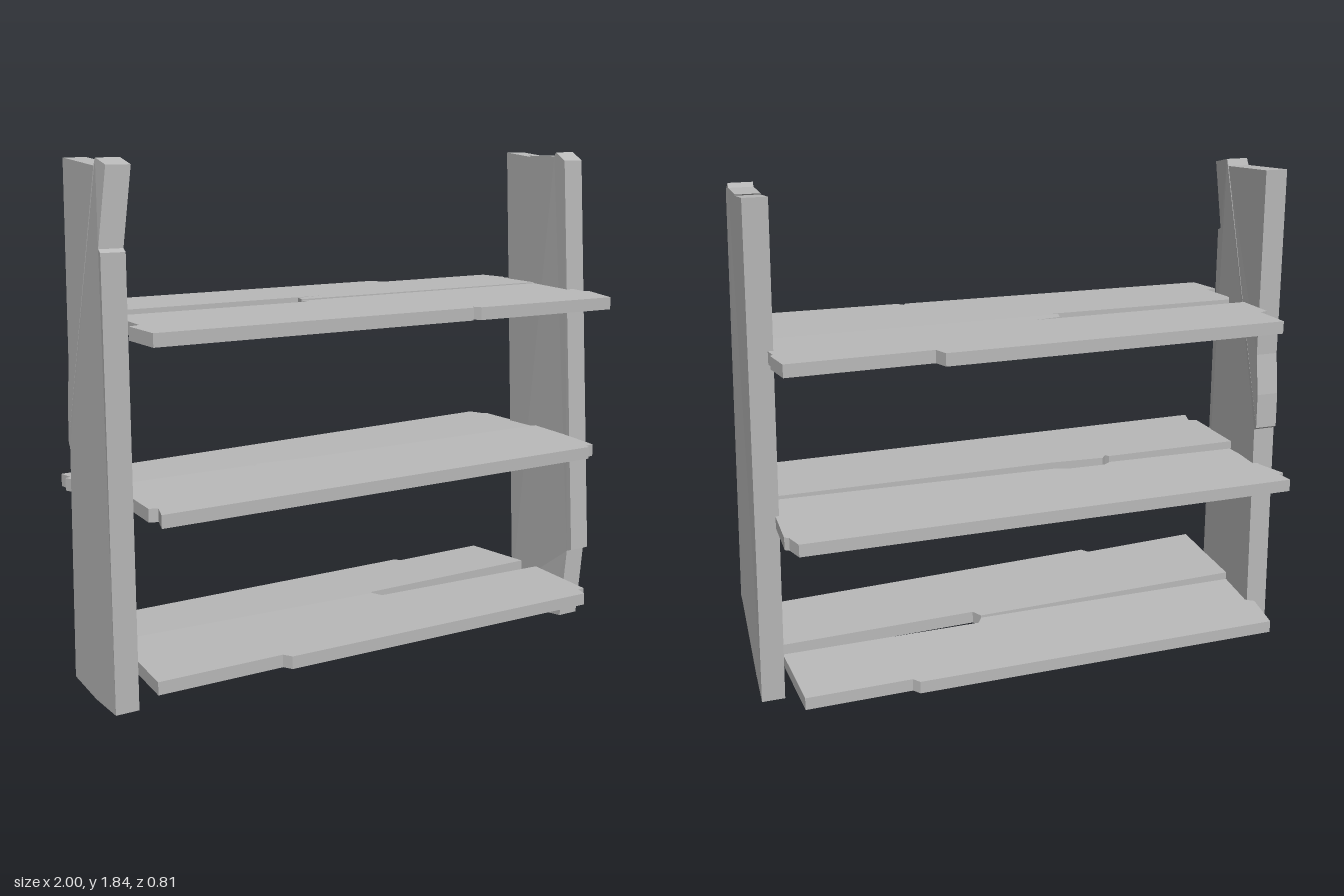
import * as THREE from 'three';

const wood = new THREE.MeshStandardMaterial({ color: 0xb8b8b8 });
wood.name = 'grey wood';

// Extrudes an outline, stands it in place and bends its vertices by a rule
function board(name, outline, thickness, place, bend) {
  const shape = new THREE.Shape(outline.map(([a, b]) => new THREE.Vector2(a, b)));
  const geo = new THREE.ExtrudeGeometry(shape, { depth: thickness, bevelEnabled: false });
  place(geo);
  const p = geo.attributes.position;
  const v = new THREE.Vector3();
  for (let i = 0; i < p.count; i++) {
    v.fromBufferAttribute(p, i);
    bend(v);
    p.setXYZ(i, v.x, v.y, v.z);
  }
  geo.computeVertexNormals();
  const mesh = new THREE.Mesh(geo, wood);
  mesh.name = name;
  return mesh;
}

// Upright: outline in (z, y), outer face at x = outer
function upright(name, outline, outer, shift) {
  return board(name, outline, 0.083,
    g => g.rotateY(-Math.PI / 2).translate(outer, 0, 0),
    v => { v.x += shift(v.y, (v.z + 0.2) / 0.4); });
}

// Shelf plank: outline in (x, z), top surface height given by a plane
function plank(name, outline, y, slopeX = 0, slopeZ = 0) {
  return board(name, outline, 0.045,
    g => g.rotateX(Math.PI / 2),
    v => { v.y += y + slopeX * v.x + slopeZ * v.z; });
}

export function createModel() {
  const group = new THREE.Group();
  group.name = 'brokenShelf';

  // Uprights, leaning inwards with chipped ends and edges
  group.add(
    upright('rightUpright', [
      [0.2, 0.03], [0.215, 1.55], [0.19, 1.56], [0.19, 1.815], [0.1, 1.835], [0.09, 1.81],
      [-0.19, 1.83], [-0.175, 1.15], [-0.195, 1.0], [-0.195, 0.87], [-0.18, 0.86],
      [-0.18, 0.03], [0.02, 0.02],
    ], -0.912, (y, f) => f * 0.037 * Math.max(0, (y - 1.55) / 0.28) + (1 - f) * 0.035 * y / 1.83),
    upright('leftUpright', [
      [0.2, 0.015], [0.115, 0.0], [0.1, 0.03], [0.09, 0.02], [-0.135, 0.035],
      [-0.2, 1.83], [-0.05, 1.815], [-0.06, 1.82], [0.09, 1.82], [0.1, 1.835], [0.15, 1.805],
      [0.225, 0.29], [0.2, 0.28],
    ], 1.0, (y, f) => (y > 0.285 ? -0.037 * (y - 0.285) / 1.55 : -0.028 * f * (0.285 - y) / 0.28)),
  );

  // Top shelf
  group.add(
    plank('topShelfFront', [
      [-0.89, 0.355], [0.3, 0.38], [0.31, 0.36], [0.33, 0.385], [0.91, 0.4], [0.945, 0.24],
      [0.925, 0.23], [0.92, -0.02], [-0.04, -0.02], [-0.16, -0.015], [-0.15, 0.008],
      [-0.86, 0.0], [-0.88, 0.04], [-0.87, 0.2], [-0.91, 0.21],
    ], 1.325, 0.001, -0.03),
    plank('topShelfBack', [
      [-0.87, -0.385], [0.37, -0.395], [0.39, -0.345], [0.89, -0.352], [0.91, -0.24],
      [0.9, -0.23], [0.92, -0.1], [0.92, -0.022], [-0.16, -0.022], [-0.15, -0.065],
      [-0.05, -0.08], [-0.88, -0.078], [-0.89, -0.23], [-0.86, -0.24],
    ], 1.33),
  );

  // Middle shelf
  group.add(
    plank('middleShelfFront', [
      [-0.89, 0.38], [0.86, 0.37], [0.865, 0.35], [0.9, 0.345], [0.91, 0.0],
      [-0.15, 0.0], [-0.35, -0.015], [-0.37, 0.01], [-0.38, -0.005], [-0.9, -0.005],
      [-0.9, 0.3], [-0.87, 0.31],
    ], 0.755, 0, -0.025),
    plank('middleShelfBack', [
      [-0.95, -0.37], [0.88, -0.41], [0.9, -0.35], [0.915, -0.34], [0.91, -0.015],
      [-0.15, -0.015], [-0.2, -0.03], [-0.35, -0.03], [-0.38, -0.01], [-0.89, -0.01],
      [-0.92, -0.2], [-0.96, -0.3], [-0.94, -0.31],
    ], 0.738, 0.012, 0.02),
  );

  // Bottom shelf
  group.add(
    plank('bottomShelfFront', [
      [-0.92, 0.385], [-0.46, 0.37], [-0.44, 0.4], [0.86, 0.375], [0.87, 0.33], [0.9, 0.325],
      [0.91, 0.02], [0.16, 0.02], [0.14, -0.02], [-0.9, -0.02], [-0.91, 0.2],
    ], 0.182, -0.019, 0),
    plank('bottomShelfBack', [
      [-0.9, -0.38], [0.48, -0.385], [0.5, -0.36], [0.88, -0.365], [0.9, -0.06],
      [0.16, -0.055], [0.14, -0.022], [-0.9, -0.022], [-0.89, -0.2], [-0.92, -0.22],
    ], 0.172, 0, 0.05),
  );
  return group;
}
